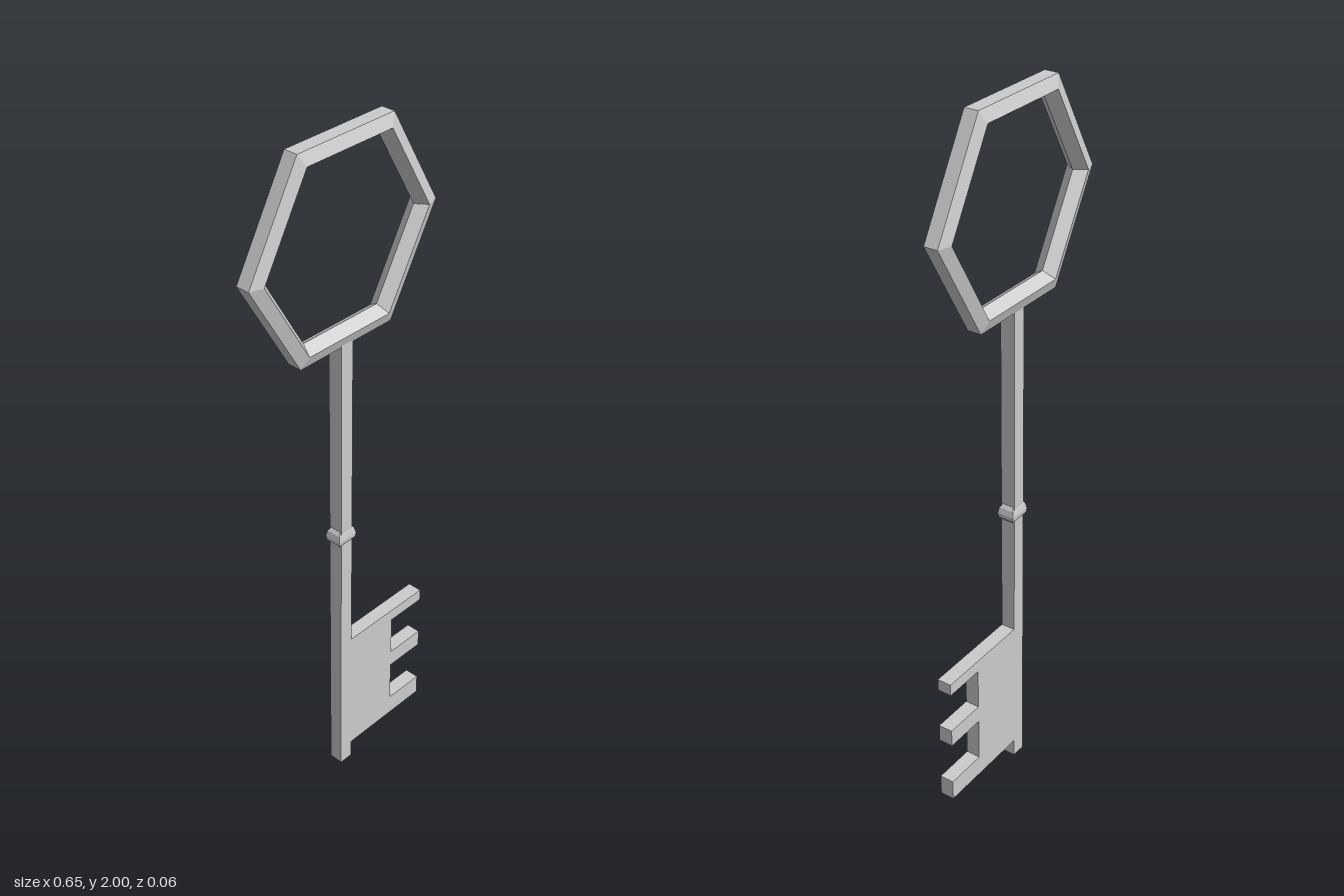
import * as THREE from 'three';

const material = new THREE.MeshStandardMaterial({ color: 0xcccccc, flatShading: true });

function addPart(group, name, geometry) {
  const mesh = new THREE.Mesh(geometry, material);
  mesh.name = name;
  group.add(mesh);
  return mesh;
}

// Revolves a profile around y with few sides
function facetedLathe(profile, sides, startAngle) {
  const points = profile.map(([r, y]) => new THREE.Vector2(r, y));
  return new THREE.LatheGeometry(points, sides, startAngle).toNonIndexed();
}

export function createModel() {
  const key = new THREE.Group();
  key.name = 'key';

  // Hexagonal bow: five-sided section, flat outside and pointed inside
  const section = [];
  for (let i = 0; i <= 5; i++) {
    const a = Math.PI + (i * Math.PI * 2) / 5;
    section.push([0.2965 + 0.034 * Math.cos(a), 0.034 * Math.sin(a)]);
  }
  const bowGeometry = facetedLathe(section, 6, Math.PI / 2);
  bowGeometry.rotateX(Math.PI / 2);
  bowGeometry.computeVertexNormals();
  addPart(key, 'bow', bowGeometry).position.set(0, 1.72, -0.001);

  // Square shaft, ending just inside the bow
  const half = 0.021;
  const length = 1.45;
  addPart(key, 'shaft', new THREE.BoxGeometry(half * 2, length, half * 2))
    .position.y = length / 2;

  // Square collar with bevelled edges, wider than it is deep
  const collarProfile = [[0.021, 0.815], [0.031, 0.825], [0.033, 0.838], [0.029, 0.855], [0.021, 0.865]]
    .map(([r, y]) => [r * Math.SQRT2, y]);
  const collarGeometry = facetedLathe(collarProfile, 4, Math.PI / 4);
  collarGeometry.scale(1, 1, 0.76);
  collarGeometry.computeVertexNormals();
  addPart(key, 'collar', collarGeometry);

  // Toothed bit: each tooth is [bottom, top]
  const teeth = [[0.055, 0.117], [0.248, 0.3], [0.424, 0.46]];
  const rootX = 0.193;
  const tipX = 0.317;
  const outline = new THREE.Shape();
  outline.moveTo(half, teeth[0][0]);
  teeth.forEach(([bottom, top], i) => {
    if (i > 0) outline.lineTo(rootX, bottom);
    outline.lineTo(tipX, bottom);
    outline.lineTo(tipX, top);
    if (i < teeth.length - 1) outline.lineTo(rootX, top);
  });
  outline.lineTo(half, teeth[teeth.length - 1][1]);
  outline.closePath();
  const bitGeometry = new THREE.ExtrudeGeometry(outline, { depth: half * 2, bevelEnabled: false });
  bitGeometry.translate(0, 0, -half);
  addPart(key, 'bit', bitGeometry);

  return key;
}
